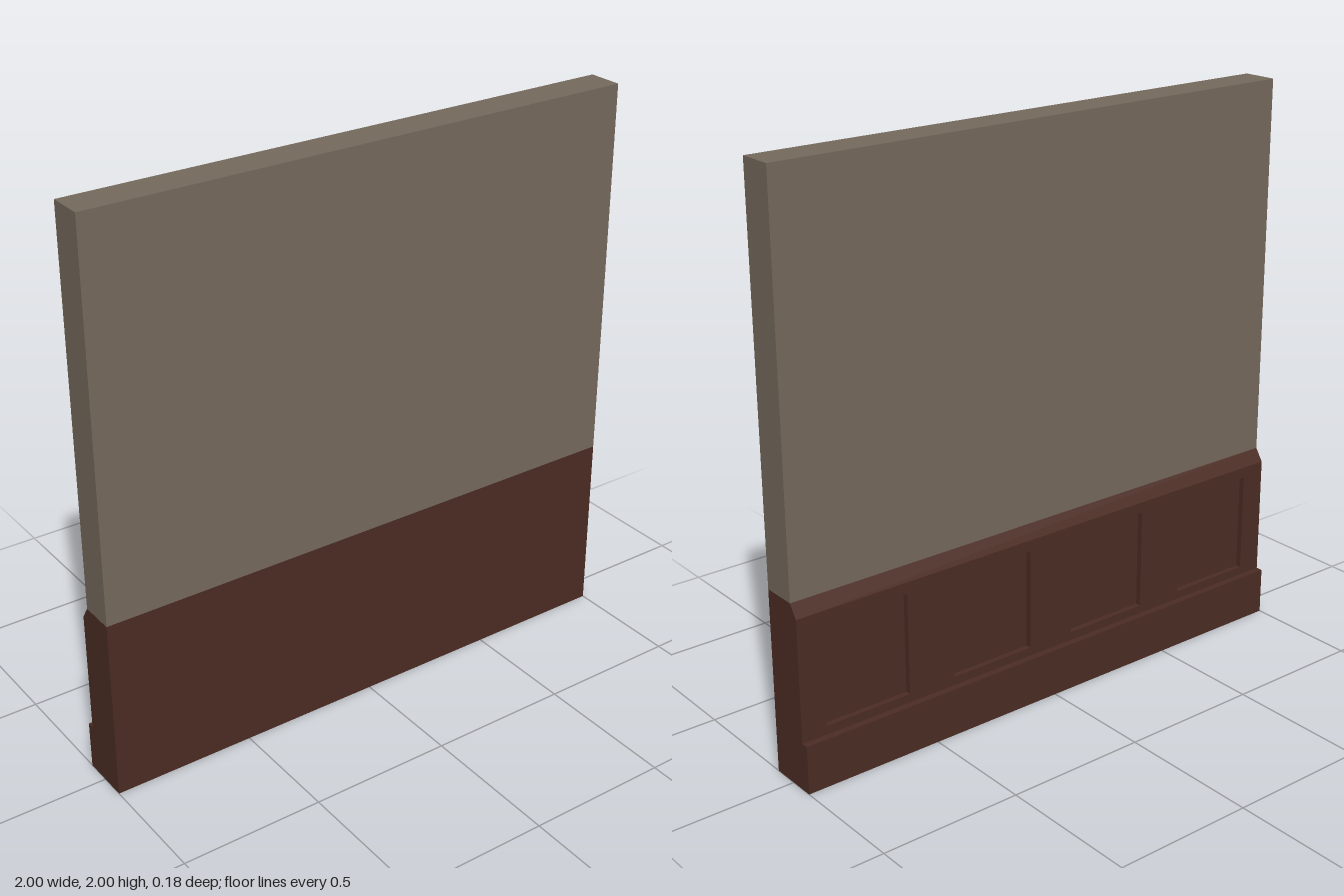
import * as THREE from 'three';

const HALF = 1, FRONT = 0.09, BACK = -0.035, PANEL = -0.065, BASE = -0.09;
const SPLIT = 0.645, CHAMFER = 0.6, BASE_TOP = 0.17, TOP = 2, RECESS = 0.02;

const plaster = new THREE.MeshStandardMaterial({ color: 0x75695c, side: THREE.DoubleSide });
plaster.name = 'plaster';
const wood = new THREE.MeshStandardMaterial({ color: 0x4b2c23, side: THREE.DoubleSide });
wood.name = 'dark wood';

function add(parent, name, geometry, material) {
  const mesh = new THREE.Mesh(geometry, material);
  mesh.name = name;
  parent.add(mesh);
  return mesh;
}

// Full-width flat strip between two [z, y] points, facing right of travel
function strip(parent, name, a, b, material) {
  const g = new THREE.BufferGeometry();
  g.setAttribute('position', new THREE.Float32BufferAttribute([
    -HALF, a[1], a[0], HALF, a[1], a[0], HALF, b[1], b[0], -HALF, b[1], b[0]], 3));
  g.setIndex([0, 1, 2, 0, 2, 3]);
  g.computeVertexNormals();
  return add(parent, name, g, material);
}

// Matching end faces cut from a [z, y] outline
function ends(parent, name, outline, material) {
  for (const s of [1, -1]) {
    const shape = new THREE.Shape(outline.map(([z, y]) => new THREE.Vector2(-s * z, y)));
    const mesh = add(parent, name, new THREE.ShapeGeometry(shape), material);
    mesh.rotation.y = s * Math.PI / 2;
    mesh.position.x = s * HALF;
  }
}

function rectangle(Type, x0, x1, y0, y1) {
  return new Type([[x0, y0], [x1, y0], [x1, y1], [x0, y1]].map(p => new THREE.Vector2(...p)));
}

export function createModel() {
  const model = new THREE.Group();
  model.name = 'panelledWall';

  // Plaster upper wall
  const upper = new THREE.Group();
  upper.name = 'upperWall';
  model.add(upper);
  const wall = [[FRONT, SPLIT], [FRONT, TOP], [BACK, TOP], [BACK, SPLIT]];
  ['upperFront', 'wallTop', 'upperBack'].forEach((n, i) => strip(upper, n, wall[i], wall[i + 1], plaster));
  ends(upper, 'upperEnd', wall, plaster);

  // Wooden lower wall with chamfered rail and baseboard, open underneath
  const lower = new THREE.Group();
  lower.name = 'wainscot';
  model.add(lower);
  strip(lower, 'lowerFront', [FRONT, 0], [FRONT, SPLIT], wood);
  strip(lower, 'chamferedRail', [BACK, SPLIT], [PANEL, CHAMFER], wood);
  strip(lower, 'baseboardLedge', [PANEL, BASE_TOP], [BASE, BASE_TOP], wood);
  strip(lower, 'baseboardFace', [BASE, BASE_TOP], [BASE, 0], wood);
  ends(lower, 'lowerEnd', [[FRONT, 0], [FRONT, SPLIT], [BACK, SPLIT], [PANEL, CHAMFER],
    [PANEL, BASE_TOP], [BASE, BASE_TOP], [BASE, 0]], wood);

  // Panelled face with four sunken rectangles
  const face = rectangle(THREE.Shape, -HALF, HALF, BASE_TOP, CHAMFER);
  const w = 0.16, y0 = 0.2, y1 = 0.56;
  for (const x of [-0.75, -0.25, 0.25, 0.75]) {
    face.holes.push(rectangle(THREE.Path, x - w, x + w, y0, y1));
    const panel = new THREE.Group();
    panel.name = 'recessedPanel';
    panel.position.set(x, (y0 + y1) / 2, PANEL + RECESS);
    lower.add(panel);
    const floor = add(panel, 'panelFloor', new THREE.PlaneGeometry(2 * w, y1 - y0), wood);
    floor.rotation.y = Math.PI;
    for (const s of [1, -1]) {
      const side = add(panel, 'panelSide', new THREE.PlaneGeometry(RECESS, y1 - y0), wood);
      side.position.set(s * w, 0, -RECESS / 2);
      side.rotation.y = -s * Math.PI / 2;
      const edge = add(panel, 'panelEdge', new THREE.PlaneGeometry(2 * w, RECESS), wood);
      edge.position.set(0, s * (y1 - y0) / 2, -RECESS / 2);
      edge.rotation.x = s * Math.PI / 2;
    }
  }
  const frame = add(lower, 'panelFrame', new THREE.ShapeGeometry(face), wood);
  frame.rotation.y = Math.PI;
  frame.position.z = PANEL;

  return model;
}
